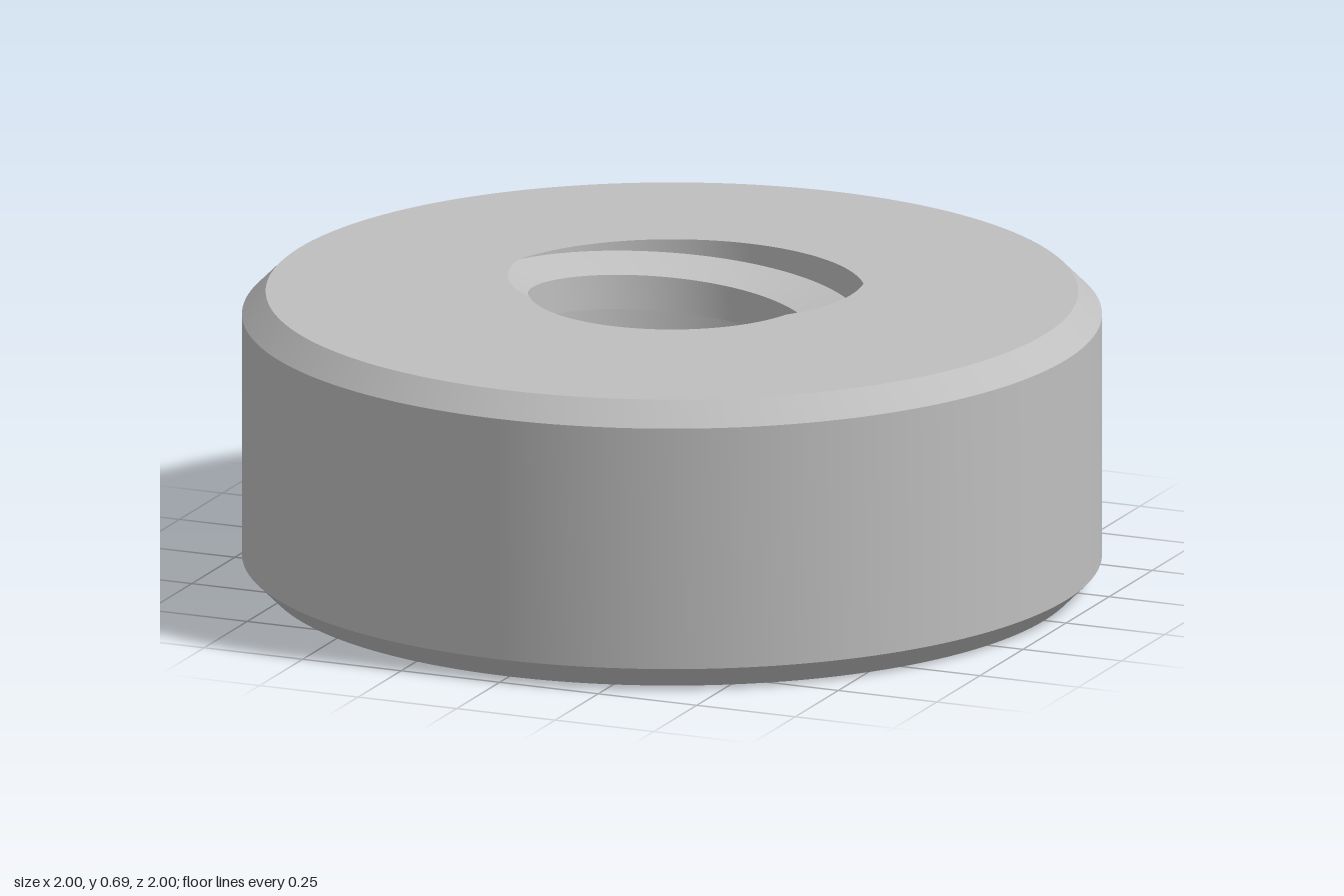
import * as THREE from 'three';

const H = 0.69;                 // total height
const R = 1, CHAMFER = 0.055;   // outer radius and edge bevel
const CREST = 0.335, ROOT = 0.45;
const PITCH = H * 9 / 28;       // rise per turn of the thread
const STEP = 2;                 // degrees per segment

// Thread profile by phase in degrees: [start, end, radius at start, radius at end]
const BANDS = [
  ['threadUpperFlank', -54, -8, CREST, ROOT],
  ['threadRoot', -8, 126, ROOT, ROOT],
  ['threadLowerFlank', 126, 172, ROOT, CREST],
  ['threadCrest', 172, 306, CREST, CREST],
];

// Bore radius at a phase angle
function boreRadius(phase) {
  const u = ((phase + 54) % 360 + 360) % 360 - 54;
  const [, u0, u1, r0, r1] = BANDS.find((b) => u <= b[2]);
  return r0 + (r1 - r0) * (u - u0) / (u1 - u0);
}

// Strip between two edges, each a function of angle giving [radius, y]
function strip(edgeA, edgeB, from = 0, to = 360) {
  const pos = [], index = [];
  const n = Math.round((to - from) / STEP);
  for (let i = 0; i <= n; i++) {
    const deg = from + i * STEP;
    const t = THREE.MathUtils.degToRad(deg);
    for (const [r, y] of [edgeA(deg), edgeB(deg)]) {
      pos.push(r * Math.cos(t), y, -r * Math.sin(t));
    }
    if (i < n) {
      const a = 2 * i;
      index.push(a, a + 1, a + 3, a, a + 3, a + 2);
    }
  }
  const g = new THREE.BufferGeometry();
  g.setAttribute('position', new THREE.Float32BufferAttribute(pos, 3));
  g.setIndex(index);
  g.computeVertexNormals();
  return g;
}

export function createModel() {
  const group = new THREE.Group();
  group.name = 'roundNut';
  const steel = new THREE.MeshStandardMaterial({ color: 0xbfbfbf });
  steel.name = 'steel grey';

  const add = (name, geometry) => {
    const mesh = new THREE.Mesh(geometry, steel);
    mesh.name = name;
    group.add(mesh);
  };
  const ring = (r, y) => () => [r, y];

  // Outer wall and bevels
  const ri = R - CHAMFER;
  add('topBevel', strip(ring(ri, H), ring(R, H - CHAMFER)));
  add('outerWall', strip(ring(R, H - CHAMFER), ring(R, CHAMFER)));
  add('bottomBevel', strip(ring(R, CHAMFER), ring(ri, 0)));

  // Flat faces, their holes following the thread where it runs out
  const boreEdge = (y) => (deg) => [boreRadius(deg - 360 * y / PITCH), y];
  add('topFace', strip(boreEdge(H), ring(ri, H)));
  add('bottomFace', strip(ring(ri, 0), boreEdge(0)));

  // Right-handed internal thread, each band clipped to the faces
  for (const [name, u0, u1, r0, r1] of BANDS) {
    const edge = (u) => (deg) => {
      const y = THREE.MathUtils.clamp(PITCH * (deg - u) / 360, 0, H);
      const phase = deg - 360 * y / PITCH;
      const k = THREE.MathUtils.clamp((phase - u0) / (u1 - u0), 0, 1);
      return [r0 + (r1 - r0) * k, y];
    };
    add(name, strip(edge(u1), edge(u0), u0, u1 + 360 * H / PITCH));
  }
  return group;
}
